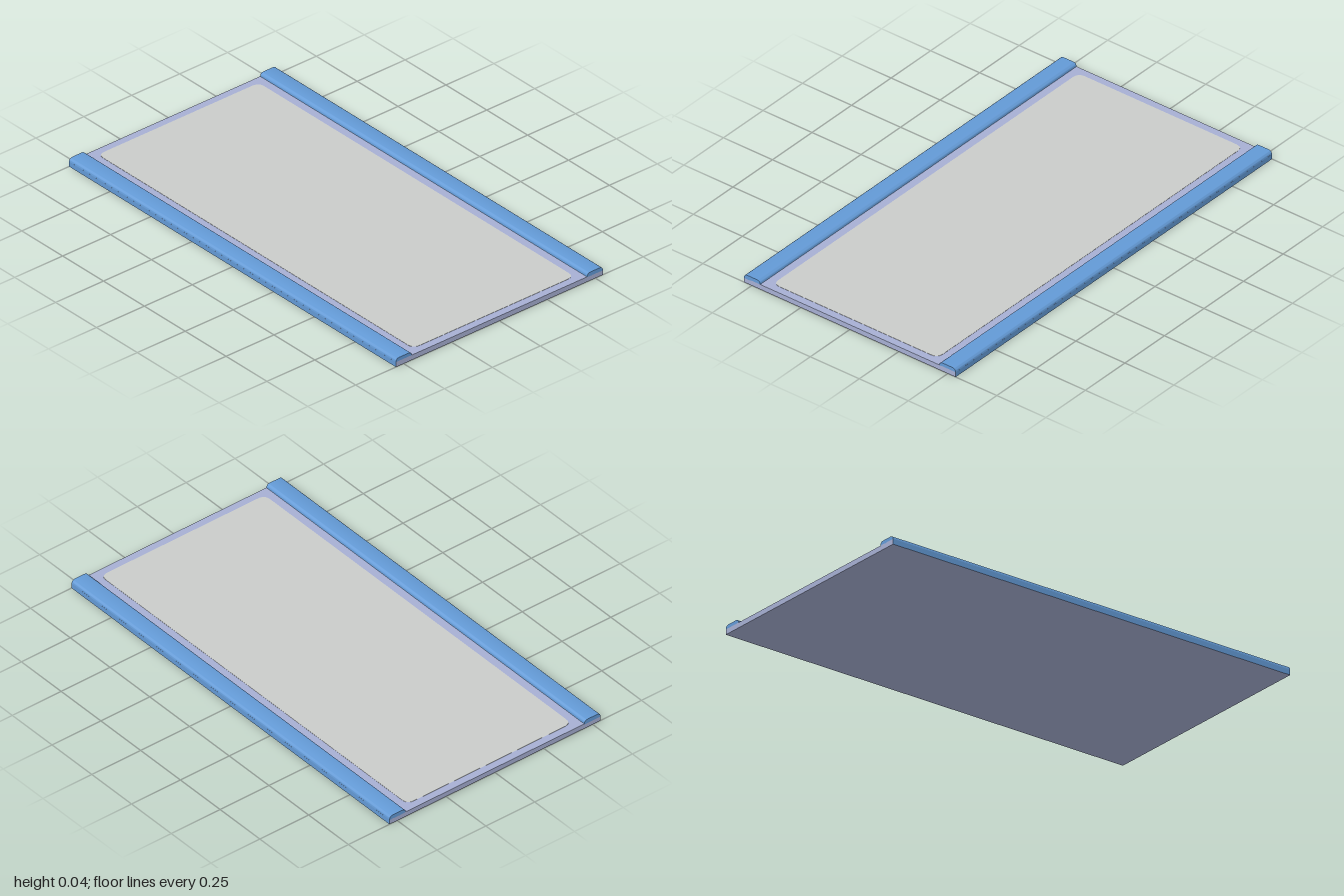
import * as THREE from 'three';
import { toCreasedNormals } from 'three/addons/utils/BufferGeometryUtils.js';

const HALF_W = 0.54, LENGTH = 2, SLAB_H = 0.023, RAIL_H = 0.039, RAIL_IN = 0.457;

export function createModel() {
  const group = new THREE.Group();
  const material = (name, color) => {
    const m = new THREE.MeshStandardMaterial({ color });
    m.name = name;
    return m;
  };
  const lavender = material('lavender border', 0xa6afd3);
  const grey = material('pale grey panel', 0xcaccca);
  const blue = material('blue rail', 0x639ad6);

  const add = (name, geometry, mat) => {
    const mesh = new THREE.Mesh(geometry, mat);
    mesh.name = name;
    group.add(mesh);
    return mesh;
  };

  // Base slab; its two long side faces share the rail colour
  const slab = new THREE.BoxGeometry(HALF_W * 2, SLAB_H, LENGTH);
  add('baseSlab', slab, [blue, blue, lavender, lavender, lavender, lavender])
    .position.y = SLAB_H / 2;

  // Inset panel with rounded corners, a thin plate on the slab
  const x = 0.42, z = 0.965, r = 0.035;
  const outline = new THREE.Shape();
  outline.moveTo(-x + r, -z);
  outline.lineTo(x - r, -z);
  outline.quadraticCurveTo(x, -z, x, -z + r);
  outline.lineTo(x, z - r);
  outline.quadraticCurveTo(x, z, x - r, z);
  outline.lineTo(-x + r, z);
  outline.quadraticCurveTo(-x, z, -x, z - r);
  outline.lineTo(-x, -z + r);
  outline.quadraticCurveTo(-x, -z, -x + r, -z);
  const plate = new THREE.ExtrudeGeometry(outline, { depth: 0.001, bevelEnabled: false, curveSegments: 6 });
  plate.rotateX(-Math.PI / 2);
  add('surfacePanel', plate, grey).position.y = SLAB_H;

  // Raised rails with rounded top edges along both long sides
  for (const [name, s] of [['leftRail', 1], ['rightRail', -1]]) {
    const c = 0.018, low = 0.02;
    const profile = new THREE.Shape();
    profile.moveTo(s * RAIL_IN, low);
    profile.lineTo(s * HALF_W, low);
    profile.quadraticCurveTo(s * HALF_W, RAIL_H, s * (HALF_W - c), RAIL_H);
    profile.lineTo(s * (RAIL_IN + c), RAIL_H);
    profile.quadraticCurveTo(s * RAIL_IN, RAIL_H, s * RAIL_IN, low);
    const rail = new THREE.ExtrudeGeometry(profile, { depth: LENGTH, bevelEnabled: false, curveSegments: 8 });
    rail.translate(0, 0, -LENGTH / 2);
    add(name, toCreasedNormals(rail, 0.7), blue);
  }
  return group;
}
